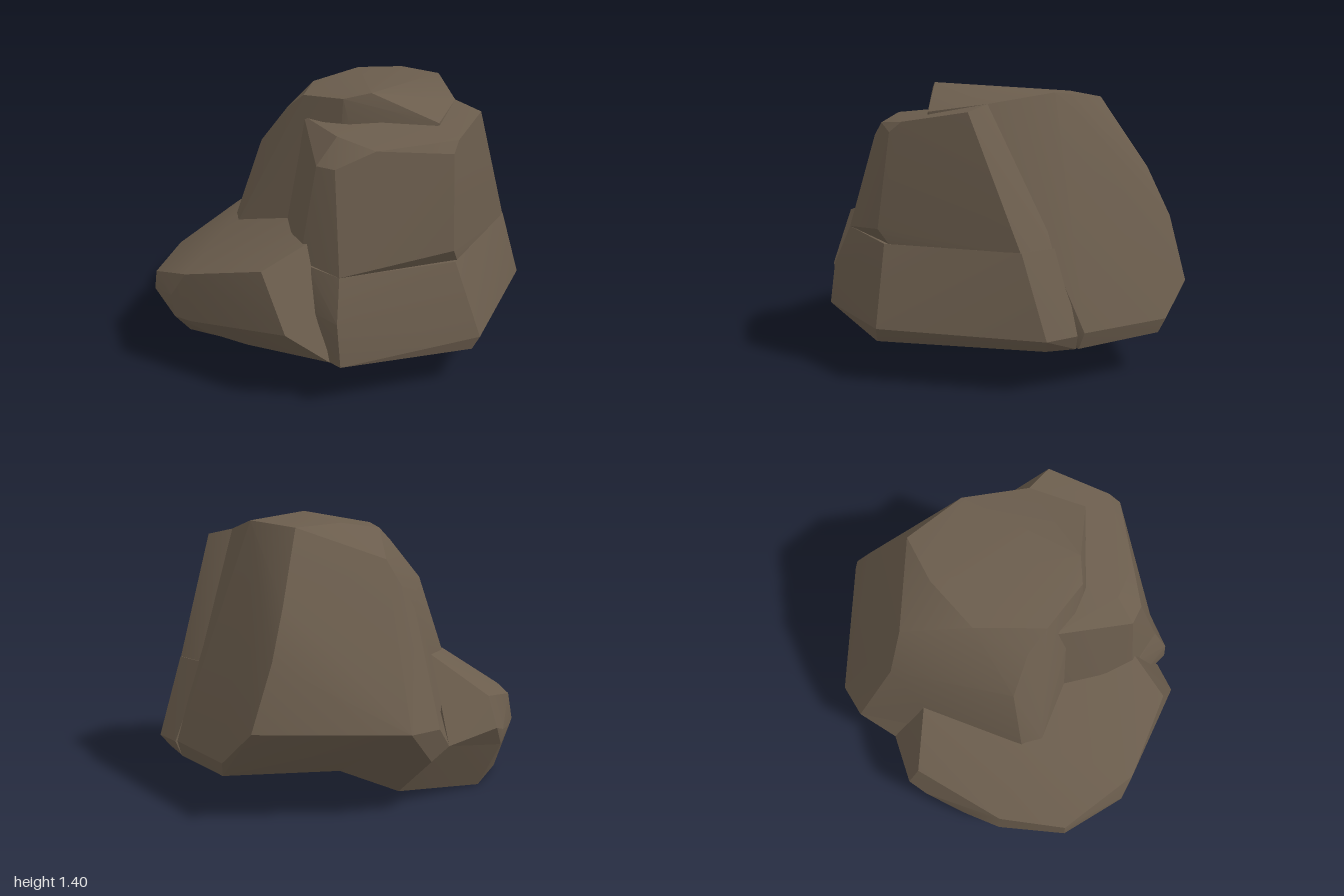
import * as THREE from 'three';
import { ConvexGeometry } from 'three/addons/geometries/ConvexGeometry.js';
import { toCreasedNormals } from 'three/addons/utils/BufferGeometryUtils.js';

const stone = new THREE.MeshStandardMaterial({ color: 0x6b5d4d });
stone.name = 'brownStone';

// One chiselled chunk of rock: the hull of its corners, gentle bends smoothed
function chunk(name, corners, crease = 0.4) {
  const points = corners.map(c => new THREE.Vector3(...c));
  const mesh = new THREE.Mesh(toCreasedNormals(new ConvexGeometry(points), crease), stone);
  mesh.name = name;
  return mesh;
}

export function createModel() {
  const rock = new THREE.Group();
  rock.name = 'boulder';

  // Tall core with the rounded cap and the undercut right rim
  rock.add(chunk('core', [
    // cap
    [-0.28, 1.34, -0.07], [-0.28, 1.37, 0.2], [-0.19, 1.4, 0.3], [-0.02, 1.27, 0.58],
    [0.25, 1.31, 0.47], [0.46, 1.36, 0.2], [0.54, 1.33, -0.12], [0.3, 1.35, -0.23],
    [-0.27, 1.25, -0.2], [0, 1.32, -0.28], [-0.28, 1.25, 0.24],
    // shoulders
    [-0.31, 1.05, -0.36], [0.3, 1.18, -0.48], [0.27, 0.95, -0.62], [0.77, 0.98, -0.2],
    [0.89, 0.74, -0.22], [0.61, 0.65, 0.4], [-0.5, 0.64, -0.36], [-0.44, 0.62, -0.45],
    [0.08, 0.7, -0.62], [-0.39, 0.68, -0.08],
    // rim and underside
    [1, 0.43, -0.18], [0.57, 0.41, -0.76], [0.4, 0.41, -0.82], [0.98, 0.27, 0],
    [0.95, 0.2, 0.02], [0.77, 0.27, 0.44], [0.74, 0.19, 0.44], [0.6, 0.2, -0.4],
    [-0.4, 0.2, -0.2], [-0.4, 0.2, 0.2],
  ], 0.38));

  // Upper half of the front slab, meeting in a corner ridge
  rock.add(chunk('upperFrontSlab', [
    [-0.12, 1.18, 0.75], [-0.06, 1.23, 0.73], [0.25, 1.28, 0.63], [0.25, 1.31, 0.47],
    [-0.43, 1.24, 0.3], [-0.3, 1.24, -0.05], [-0.38, 1.2, 0.5], [-0.55, 1.12, 0.28],
    [-0.53, 1.12, 0.38], [-0.16, 0.72, 0.8], [-0.1, 0.64, 0.78], [0.53, 0.64, 0.61],
    [0.61, 0.64, 0.4], [-0.62, 0.64, 0.49], [-0.64, 0.66, 0.25], [-0.56, 0.68, 0.1],
    [-0.38, 0.65, -0.13],
  ], 0.35));

  // Lower half of the front slab, flaring to a bevelled foot
  rock.add(chunk('lowerFrontSlab', [
    [-0.13, 0.65, 0.79], [0.53, 0.65, 0.61], [0.61, 0.65, 0.4], [-0.62, 0.64, 0.49],
    [-0.64, 0.65, 0.3], [-0.69, 0.44, 0.54], [-0.69, 0.45, 0.38],
    [-0.08, 0.27, 0.92], [0.68, 0.26, 0.63], [0.75, 0.26, 0.47],
    [-0.7, 0.23, 0.57], [-0.1, 0.2, 0.89], [0.65, 0.2, 0.59], [0.73, 0.19, 0.45],
    [-0.66, 0.2, 0.53], [-0.66, 0.2, 0.25], [-0.3, 0.4, -0.05], [-0.3, 0.2, -0.05],
  ], 0.3));

  // Broad low ledge wrapping the back left
  rock.add(chunk('backLedge', [
    // sloping top
    [-0.62, 0.75, 0.28], [-0.4, 0.72, -0.08], [-0.46, 0.65, -0.42], [-0.86, 0.67, 0.22],
    [-0.98, 0.56, -0.2], [-0.86, 0.4, -0.61], [-0.56, 0.41, -0.79], [-0.07, 0.49, -0.87],
    [0.08, 0.7, -0.62],
    // outer edge
    [-1, 0.42, -0.3], [-0.87, 0.3, -0.62], [-0.57, 0.27, -0.81], [-0.37, 0.28, -0.87],
    [-0.15, 0.31, -0.92], [-0.04, 0.34, -0.93], [0.2, 0.28, -0.78], [-0.86, 0.39, 0.37],
    [-0.98, 0.31, -0.18], [-1, 0.31, -0.28], [-0.7, 0.23, 0.5], [-0.15, 0.23, -0.91],
    // base
    [-0.86, 0.17, -0.3], [-0.82, 0.2, 0.05], [-0.6, 0.2, 0.3],
  ], 0.45));

  // Sagging belly under the ledge
  rock.add(chunk('belly', [
    [-1, 0.31, -0.28], [-0.87, 0.3, -0.62], [-0.57, 0.27, -0.81], [-0.37, 0.28, -0.87],
    [-0.15, 0.23, -0.91], [0.2, 0.28, -0.78], [-0.86, 0.15, -0.35], [-0.8, 0.19, 0.02],
    [-0.5, 0.01, -0.74], [-0.15, 0, -0.79], [0.34, 0.06, -0.58], [-0.6, 0.07, -0.18],
    [0, 0.07, -0.15], [0.5, 0.16, -0.4], [0.4, 0.19, -0.06], [-0.4, 0.19, 0],
  ], 0.5));

  // Skirt joining the core's back rim to the belly, leaving a valley beside the ledge
  rock.add(chunk('backSkirt', [
    [0.4, 0.41, -0.82], [0.57, 0.41, -0.76], [0.4, 0.25, -0.78], [0.2, 0.28, -0.78],
    [0.08, 0.67, -0.6], [0.34, 0.06, -0.58], [0.5, 0.16, -0.4], [0.6, 0.2, -0.4],
    [0.1, 0.15, -0.5],
  ], 0.5));

  return rock;
}
